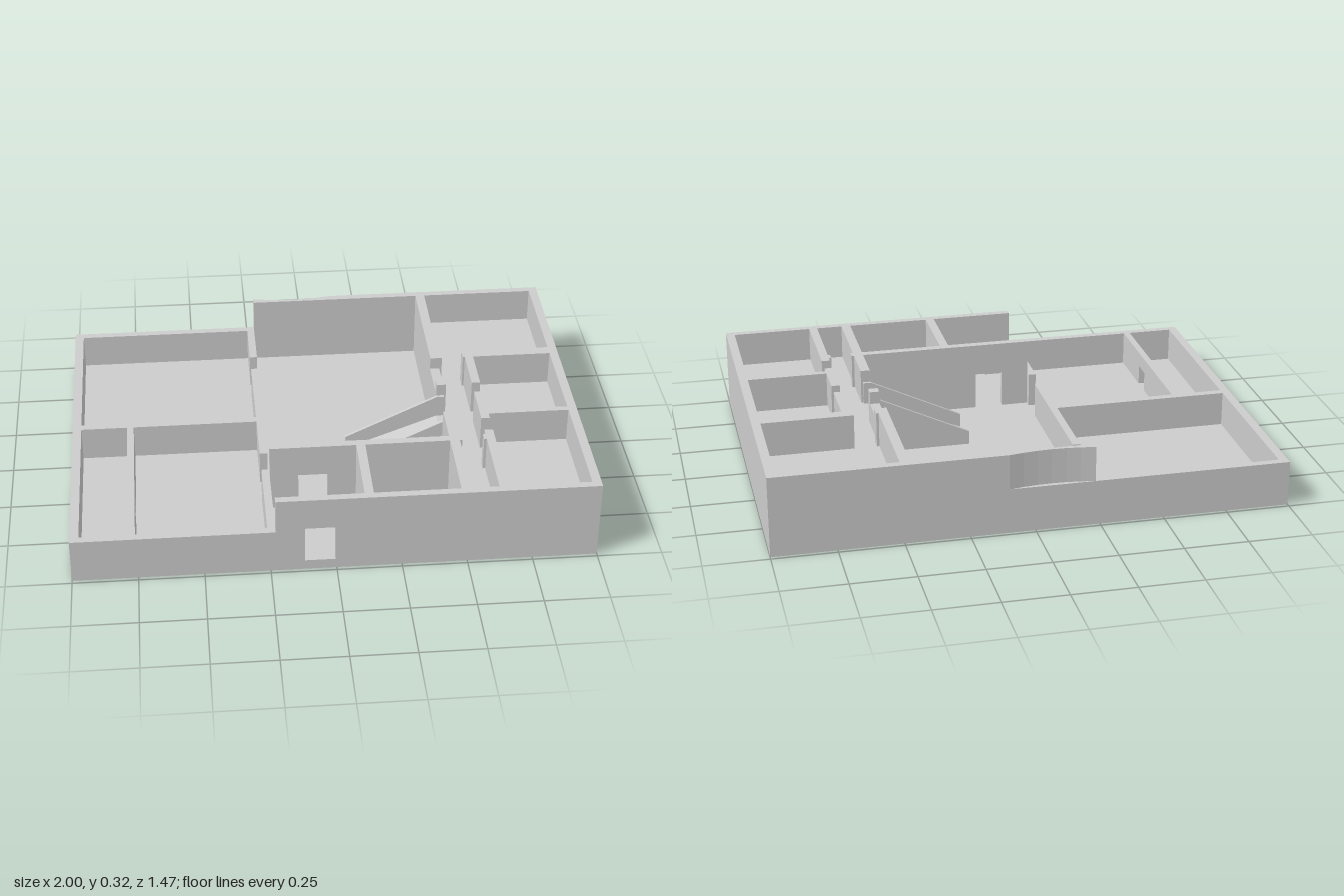
import * as THREE from 'three';

export function createModel() {
  const house = new THREE.Group();
  house.name = 'floorPlan';
  const mat = new THREE.MeshStandardMaterial({ color: 0xcccccc, flatShading: true });
  const LOW = 0.18, HIGH = 0.32, FLOOR = 0.04, D = 0.735;

  const add = (name, geo) => {
    const m = new THREE.Mesh(geo, mat);
    m.name = name;
    house.add(m);
    return m;
  };
  // box given by its limits
  const block = (name, x0, x1, z0, z1, y0, y1) => {
    const g = new THREE.BoxGeometry(x1 - x0, y1 - y0, z1 - z0);
    return add(name, g.translate((x0 + x1) / 2, (y0 + y1) / 2, (z0 + z1) / 2));
  };
  // vertical panel drawn in x (or -z) and y, extruded by its thickness, with optional door hole
  const panel = (name, pts, depth, hole) => {
    const toV = a => a.map(p => new THREE.Vector2(...p));
    const s = new THREE.Shape(toV(pts));
    if (hole) {
      const [a, b, c, d] = hole;
      s.holes.push(new THREE.Path(toV([[a, c], [a, d], [b, d], [b, c]])));
    }
    return add(name, new THREE.ExtrudeGeometry(s, { depth, bevelEnabled: false }));
  };
  const rect = (a, b, c, d) => [[a, c], [b, c], [b, d], [a, d]];

  // floors: ground slab and raised level on the left side
  block('groundSlab', -1, 1, -D, D, 0, FLOOR);
  block('raisedFloor', 0.47, 1, -D, D, 0, LOW);

  // low outer walls
  block('lowRightWall', -1, -0.965, -D, D, 0, LOW);
  block('lowBackWall', -1, -0.23, -D, -0.705, 0, LOW);
  block('lowFrontWall', -1, -0.23, 0.705, D, 0, LOW);

  // tall outer walls
  block('tallLeftWall', 0.965, 1, -D, D, 0, HIGH);
  panel('tallFrontWall', rect(-0.23, 1, 0, HIGH), 0.03, [-0.12, -0.005, FLOOR, 0.19]).position.z = 0.705;
  block('tallBackWallBase', -0.23, 1, -D, -0.705, 0, LOW);

  // upper back wall with a shallow concave bay, drawn in plan
  const plan = new THREE.Shape();
  plan.moveTo(1, D).lineTo(1, 0.705).lineTo(-0.23, 0.705).lineTo(-0.23, D);
  const n = 6;
  for (let i = 1; i <= n; i++) {
    const t = i / n;
    plan.lineTo(-0.23 + 0.33 * t, D - 0.017 * 4 * t * (1 - t));
  }
  const upper = new THREE.ExtrudeGeometry(plan, { depth: HIGH - LOW, bevelEnabled: false });
  add('curvedBackWall', upper.rotateX(-Math.PI / 2).translate(0, LOW, 0));

  // low partitions
  block('lowCrossWall', -0.97, -0.23, -0.037, -0.005, 0, LOW);
  for (const [z0, z1] of [[-0.71, -0.49], [-0.4, 0.22], [0.33, 0.71]]) {
    block('lowPartition', -0.26, -0.23, z0, z1, 0, LOW);
  }
  const closet = panel('closetWall', rect(-0.71, 0.01, 0, LOW), 0.027, [-0.46, -0.38, FLOOR, 0.12]);
  closet.rotation.y = Math.PI / 2;
  closet.position.x = -0.782;

  // tall partitions by the entrance
  panel('hallWall', rect(-0.23, 0.51, 0, HIGH), 0.032, [-0.12, -0.005, FLOOR, 0.19]).position.z = 0.36;
  block('entranceDivider', 0.105, 0.14, 0.38, 0.71, 0, HIGH);

  // wall beside the ramp landing, with a parapet
  block('hallSideWall', 0.47, 0.508, -0.71, -0.2, 0, HIGH);
  block('landingParapet', 0.47, 0.508, -0.2, -0.037, 0, 0.27);
  block('landingPost', 0.47, 0.508, -0.037, 0, 0, HIGH);
  block('hallSideWall', 0.47, 0.508, 0.19, 0.71, 0, HIGH);

  // partitions of the raised level
  block('backRoomWall', 0.605, 0.98, -0.247, -0.2, LOW, HIGH);
  block('middleRoomWall', 0.63, 0.98, 0.195, 0.22, LOW, HIGH);
  for (const [z0, z1] of [[-0.247, -0.005], [0.06, 0.25], [0.33, 0.71]]) {
    block('corridorWall', 0.613, 0.647, z0, z1, LOW, HIGH);
  }
  block('doorJamb', 0.5, 0.518, -0.247, -0.2, LOW, HIGH);
  for (const x of [0.5, 0.603]) block('doorJamb', x, x + 0.018, 0.36, 0.392, LOW, HIGH);

  // ramp between the two levels and its solid side rails
  panel('ramp', [[0.1, FLOOR], [0.48, FLOOR], [0.48, LOW], [0.47, LOW]], 0.18).position.z = 0.005;
  for (const z of [0, 0.178]) {
    panel('rampRail', [[0.1, FLOOR], [0.5, FLOOR], [0.5, 0.27], [0.47, 0.27], [0.1, 0.095]], 0.012).position.z = z;
  }
  return house;
}
